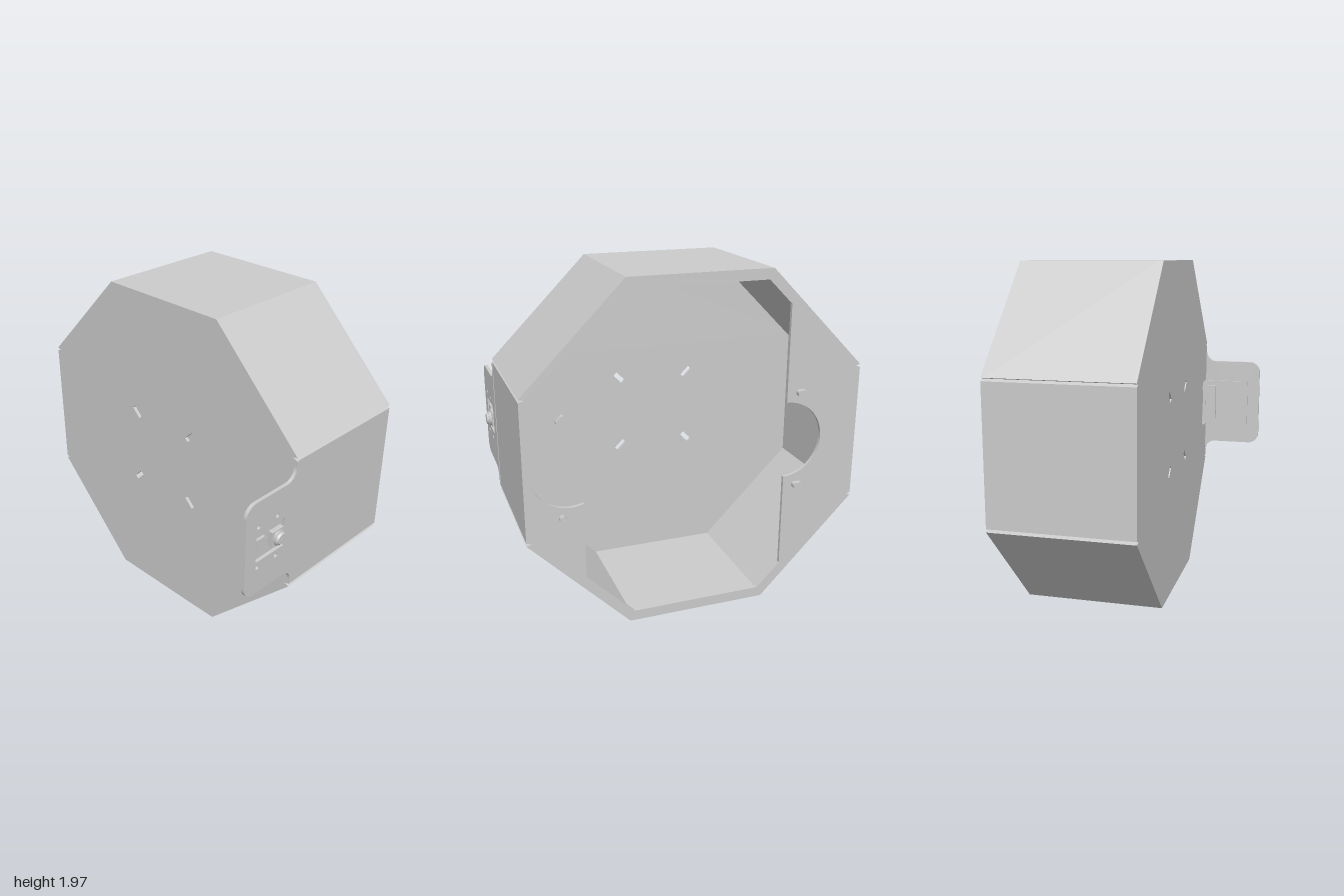
import * as THREE from 'three';

const CX = -0.02, CY = 0.985, T = 0.02;      // octagon centre, sheet thickness
const FRONT = 0.235, BACK = -0.58;
const mat = new THREE.MeshStandardMaterial({ color: 0xcccccc, side: THREE.DoubleSide });

function add(parent, name, geometry, x = 0, y = 0, z = 0) {
  const mesh = new THREE.Mesh(geometry, mat);
  mesh.name = name;
  mesh.position.set(x, y, z);
  parent.add(mesh);
  return mesh;
}

const extrude = (shape, depth) =>
  new THREE.ExtrudeGeometry(shape, { depth, bevelEnabled: false, curveSegments: 16 });

// Octagon with small bend reliefs at the ends of the two side panels
function octagon() {
  const quarter = [[0.98, 0.39], [0.98, 0.408], [0.41, 0.985]];
  quarter.splice(1, 0, [0.948, 0.4]);
  const back = [...quarter].reverse();
  const pts = [
    ...quarter,
    ...back.map(([x, y]) => [-x, y]),
    ...quarter.map(([x, y]) => [-x, -y]),
    ...back.map(([x, y]) => [x, -y]),
  ];
  return new THREE.Shape(pts.map(([x, y]) => new THREE.Vector2(CX + x, CY + y)));
}

// Plain octagon inset from the outside by d
function innerOctagon(d) {
  const a = 0.985 - d, s = 0.98 - d, b = 0.41 - d * 0.414;
  const pts = [[s, b], [b, a], [-b, a], [-s, b], [-s, -b], [-b, -a], [b, -a], [s, -b]];
  return new THREE.Path(pts.map(([x, y]) => new THREE.Vector2(CX + x, CY + y)));
}

// Rounded rectangle written into a Shape or Path
function roundRect(p, x0, y0, x1, y1, r) {
  p.moveTo(x0 + r, y0);
  p.lineTo(x1 - r, y0);
  p.absarc(x1 - r, y0 + r, r, -Math.PI / 2, 0);
  p.lineTo(x1, y1 - r);
  p.absarc(x1 - r, y1 - r, r, 0, Math.PI / 2);
  p.lineTo(x0 + r, y1);
  p.absarc(x0 + r, y1 - r, r, Math.PI / 2, Math.PI);
  p.lineTo(x0, y0 + r);
  p.absarc(x0 + r, y0 + r, r, Math.PI, Math.PI * 1.5);
  return p;
}

function frontPlate() {
  const s = octagon();
  // four radial slots
  for (const sx of [-1, 1]) for (const sy of [-1, 1]) {
    const corners = [[0.275, -0.014], [0.35, -0.014], [0.35, 0.014], [0.275, 0.014]];
    s.holes.push(new THREE.Path(corners.map(([u, v]) => new THREE.Vector2(
      -0.026 + sx * (u - v) * Math.SQRT1_2, CY + sy * (u + v) * Math.SQRT1_2))));
  }
  // cutout beside the bracket, rounded on its inner side
  const c = new THREE.Path();
  c.moveTo(0.94, 0.83);
  c.lineTo(0.86, 0.83);
  c.absarc(0.86, 0.89, 0.06, -Math.PI / 2, Math.PI, true);
  c.lineTo(0.8, 1.08);
  c.absarc(0.86, 1.08, 0.06, Math.PI, Math.PI / 2, true);
  c.lineTo(0.94, 1.14);
  s.holes.push(c);
  return extrude(s, T);
}

function sideWalls() {
  const s = octagon();
  s.holes.push(innerOctagon(0.035));
  return extrude(s, FRONT - BACK - 2 * T);
}

// Rear rim: wide flanges left and right, each with a round bite
function rearRim() {
  const s = octagon(), p = new THREE.Path();
  p.moveTo(-0.405, 1.91);
  p.lineTo(0.365, 1.91);
  p.lineTo(0.64, 1.635);
  p.lineTo(0.64, CY + 0.2086);
  p.absarc(0.71, CY, 0.22, 1.894, -1.894, true);
  p.lineTo(0.64, 0.335);
  p.lineTo(0.365, 0.06);
  p.lineTo(-0.405, 0.06);
  p.lineTo(-0.545, 0.2);
  p.lineTo(-0.545, CY - 0.225);
  p.absarc(-0.545, CY, 0.225, -Math.PI / 2, Math.PI / 2, true);
  p.lineTo(-0.545, 1.77);
  s.holes.push(p);
  return extrude(s, T);
}

// Bracket profile is drawn with z across and y up, then turned to face +x
function bracketPlate() {
  const s = new THREE.Shape(), H = Math.PI / 2, r = 0.07;
  s.moveTo(0.22, 0.6);
  s.lineTo(FRONT, 0.6);
  s.lineTo(FRONT, 0.63);
  s.absarc(FRONT + r, 0.63, r, Math.PI, H, true);
  s.lineTo(0.54, 0.7);
  s.absarc(0.54, 0.77, r, -H, 0);
  s.lineTo(0.61, 1.2);
  s.absarc(0.54, 1.2, r, 0, H);
  s.lineTo(FRONT + r, 1.27);
  s.absarc(FRONT + r, 1.34, r, -H, -Math.PI, true);
  s.lineTo(FRONT, 1.37);
  s.lineTo(0.22, 1.37);
  s.holes.push(roundRect(new THREE.Path(), 0.31, 0.9, 0.53, 1.075, 0.015));
  for (const z of [0.37, 0.515]) for (const y of [0.865, 1.115]) {
    s.holes.push(new THREE.Path().absarc(z, y, 0.013, 0, Math.PI * 2));
  }
  return extrude(s, T).rotateY(-Math.PI / 2);
}

export function createModel() {
  const model = new THREE.Group();
  model.name = 'octagonalHousing';

  add(model, 'frontPlate', frontPlate(), 0, 0, FRONT - T);
  add(model, 'sideWalls', sideWalls(), 0, 0, BACK + T);
  add(model, 'rearRim', rearRim(), 0, 0, BACK);

  // Raised tabs on the rear rim, above and below each bite
  const pin = extrude(roundRect(new THREE.Shape(), -0.029, -0.017, 0.029, 0.017, 0.014), 0.035);
  for (const sy of [-1, 1]) {
    add(model, 'rearTab', pin, -0.628, CY + sy * 0.28, -0.61);
    add(model, 'rearTab', pin, 0.752, CY + sy * 0.28, -0.61).rotation.z = -sy * Math.PI / 4;
  }

  // Bracket with a circuit board, connectors and a round jack
  const bracket = new THREE.Group();
  bracket.name = 'connectorBracket';
  model.add(bracket);
  add(bracket, 'bracketPlate', bracketPlate(), 0.963);
  add(bracket, 'circuitBoard', new THREE.BoxGeometry(0.013, 0.3, 0.28), 0.936, CY, 0.39);
  add(bracket, 'rearConnector', new THREE.BoxGeometry(0.026, 0.23, 0.06), 0.918, CY, 0.28);
  add(bracket, 'socket', new THREE.BoxGeometry(0.018, 0.09, 0.065), 0.949, CY, 0.487);
  add(bracket, 'jackBase', new THREE.BoxGeometry(0.03, 0.09, 0.09), 0.955, CY, 0.367);

  const jack = (name, r0, r1, len, x, sides) =>
    add(bracket, name, new THREE.CylinderGeometry(r0, r1, len, sides).rotateZ(-Math.PI / 2), x, CY, 0.367);
  jack('jackNut', 0.045, 0.045, 0.018, 0.979, 6);
  jack('jackCollar', 0.03, 0.038, 0.012, 0.993, 20);
  jack('jackPin', 0.012, 0.012, 0.01, 0.995, 12);

  return model;
}
